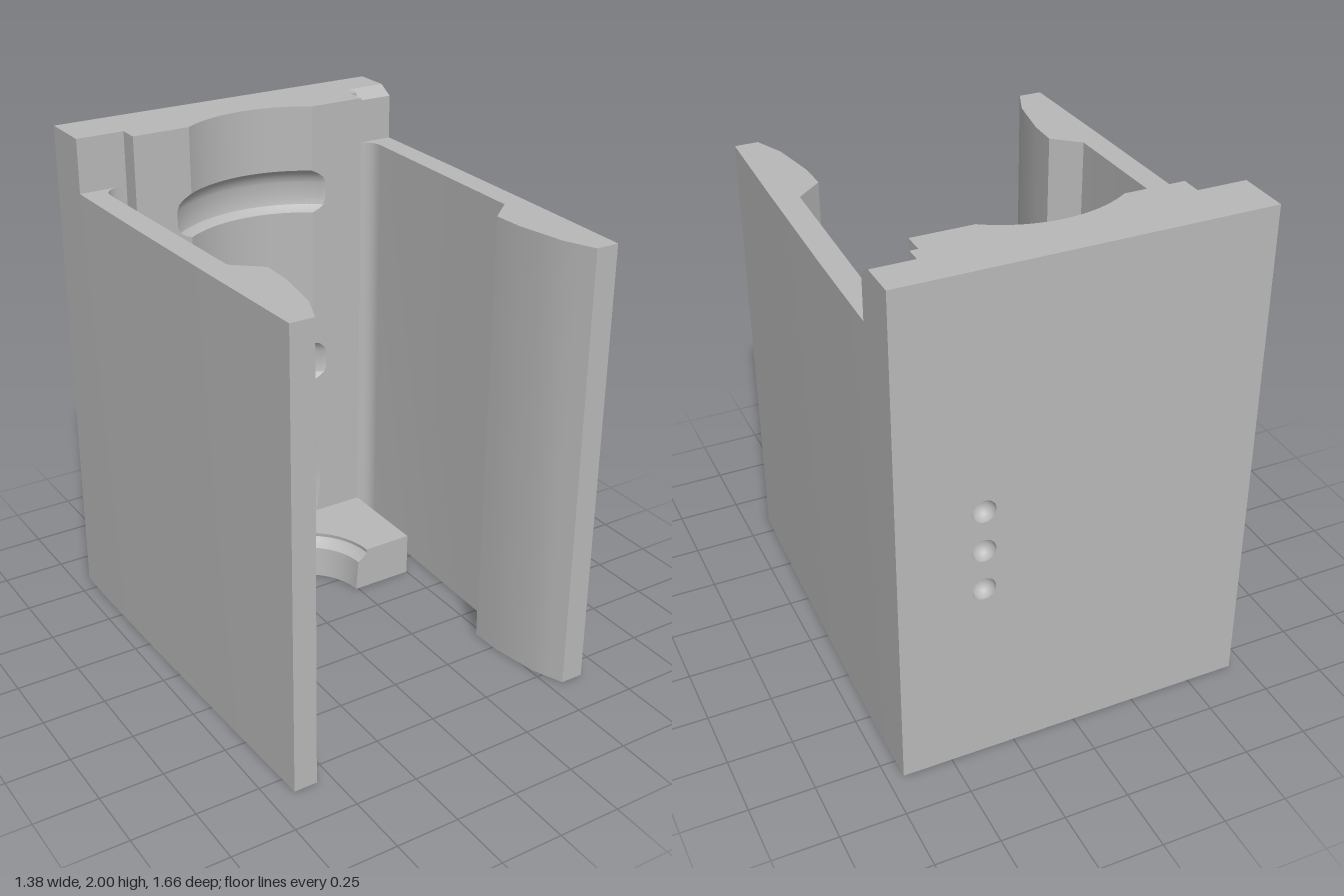
import * as THREE from 'three';
import { toCreasedNormals } from 'three/addons/utils/BufferGeometryUtils.js';

const AXIS_Z = -0.15;   // axis of the round channel
const CORE_Z = -0.785;  // where the back panel ends and the core begins
const DIMPLE_R = 0.045;

// Horizontal slice: a rectangle whose front edge is bitten by a circle of radius r
function slice(r, front) {
  const d = AXIS_Z - front;
  const half = Math.acos(Math.min(1, d / r));
  const pts = [[-0.5, CORE_Z], [0.5, CORE_Z], [0.5, front]];
  const n = 40;
  for (let i = 0; i <= n; i++) {
    const a = half - (2 * half * i) / n;
    pts.push([r * Math.sin(a), AXIS_Z - r * Math.cos(a)]);
  }
  pts.push([-0.5, front]);
  return pts;
}

// Stack slices along y; profile is a list of [y, radius]
function channelBlock(profile, front) {
  const rows = profile.map(([, r]) => slice(r, front));
  const n = rows[0].length;
  const pos = [], index = [];
  rows.forEach((row, j) => row.forEach(([x, z]) => pos.push(x, profile[j][0], z)));
  for (let j = 0; j < rows.length - 1; j++) {
    for (let i = 0; i < n; i++) {
      const a = j * n + i, b = j * n + (i + 1) % n;
      index.push(a, a + n, b, b, a + n, b + n);
    }
  }
  const cap = (j, flip) => {
    const contour = rows[j].map(([x, z]) => new THREE.Vector2(x, z));
    for (const [a, b, c] of THREE.ShapeUtils.triangulateShape(contour, [])) {
      index.push(j * n + a, j * n + (flip ? c : b), j * n + (flip ? b : c));
    }
  };
  cap(0, false);
  cap(rows.length - 1, true);
  const geo = new THREE.BufferGeometry();
  geo.setAttribute('position', new THREE.Float32BufferAttribute(pos, 3));
  geo.setIndex(index);
  return toCreasedNormals(geo, 0.5);
}

// Extrude an [x, z] outline upwards from y0 to y1
function extrudeY(points, y0, y1) {
  const shape = new THREE.Shape(points.map(([x, z]) => new THREE.Vector2(x, -z)));
  const geo = new THREE.ExtrudeGeometry(shape, { depth: y1 - y0, bevelEnabled: false });
  geo.rotateX(-Math.PI / 2).translate(0, y0, 0);
  return toCreasedNormals(geo, 0.4);
}

function box(x0, x1, y0, y1, z0, z1) {
  return new THREE.BoxGeometry(x1 - x0, y1 - y0, z1 - z0)
    .translate((x0 + x1) / 2, (y0 + y1) / 2, (z0 + z1) / 2);
}

// Curved tab lying in the channel
function tab(halfWidth, rIn, rOut, y0, y1) {
  const pts = [], n = 14;
  const arc = (r, sign) => {
    const h = Math.asin(halfWidth / r);
    for (let i = 0; i <= n; i++) {
      const a = sign * (h - (2 * h * i) / n);
      pts.push([r * Math.sin(a), AXIS_Z - r * Math.cos(a)]);
    }
  };
  arc(rIn, 1);
  arc(rOut, -1);
  return extrudeY(pts, y0, y1);
}

export function createModel() {
  const group = new THREE.Group();
  const grey = new THREE.MeshStandardMaterial({ color: 0xb8b8b8, side: THREE.DoubleSide });
  grey.name = 'plain grey';
  const add = (name, geo) => {
    const mesh = new THREE.Mesh(geo, grey);
    mesh.name = name;
    group.add(mesh);
    return mesh;
  };

  // Back panel with three round dimples
  const panel = new THREE.Shape([[-0.69, 0], [0.69, 0], [0.69, 2], [-0.69, 2]]
    .map(([x, y]) => new THREE.Vector2(x, y)));
  for (const y of [0.76, 0.925, 1.09]) {
    panel.holes.push(new THREE.Path().absarc(0.37, y, DIMPLE_R, 0, Math.PI * 2, true));
    add('dimple', new THREE.SphereGeometry(DIMPLE_R, 20, 12, 0, Math.PI))
      .position.set(0.37, y, -0.83);
  }
  add('backPanel', new THREE.ExtrudeGeometry(panel,
    { depth: CORE_Z + 0.83, bevelEnabled: false, curveSegments: 20 }).translate(0, 0, -0.83));

  // Core with the round channel and its two ring grooves
  add('channelCore', channelBlock([
    [0.18, 0.487], [0.21, 0.49], [0.3, 0.498], [0.37, 0.5], [0.45, 0.496], [0.6, 0.487],
    [0.82, 0.483], [0.83, 0.495], [0.845, 0.511], [0.87, 0.518], [0.94, 0.518],
    [0.965, 0.511], [0.985, 0.495], [0.99, 0.48],
    [1.565, 0.48], [1.575, 0.496], [1.59, 0.51], [1.615, 0.516], [1.68, 0.516],
    [1.705, 0.51], [1.725, 0.494], [1.74, 0.478], [2, 0.478],
  ], -0.545));

  // Bottom shelf with a stepped half-round opening
  add('bottomShelf', channelBlock([
    [0, 0.24], [0.13, 0.25], [0.14, 0.265], [0.155, 0.285], [0.165, 0.292], [0.18, 0.29],
  ], AXIS_Z));

  // Tabs inside the channel
  add('lowerTab', tab(0.18, 0.458, 0.5, 0.18, 0.235));
  add('upperTab', tab(0.187, 0.472, 0.525, 0.88, 0.97));

  // Side arms with inward hooks, joined to the back by a fillet
  const arm = [
    [0.5, CORE_Z], [0.69, CORE_Z], [0.69, -0.6], [0.683, -0.2], [0.668, 0.35], [0.652, 0.83],
    [0.56, 0.82], [0.535, 0.77], [0.51, 0.71], [0.492, 0.61], [0.475, 0.51], [0.472, 0.39],
    [0.575, 0.3], [0.6, -0.55],
  ];
  arm[5] = [0.652, 0.83];
  arm[6] = [0.56, 0.83];
  for (let i = 1; i <= 6; i++) {
    const a = (i / 6) * Math.PI / 2;
    arm.push([0.53 + 0.07 * Math.cos(a), -0.555 - 0.07 * Math.sin(a)]);
  }
  arm.push([0.5, -0.625]);
  add('leftArm', extrudeY(arm, 0, 1.79));
  add('rightArm', extrudeY(arm.map(([x, z]) => [-x, z]), 0, 1.79));

  // Upper corners above the arms; the left one has a chamfered notch
  add('rightCorner', box(-0.69, -0.5, 1.79, 2, CORE_Z, -0.625));
  add('leftCornerInner', box(0.5, 0.53, 1.79, 2, CORE_Z, -0.625));
  const chamfer = new THREE.Shape([[0.625, 1.79], [-CORE_Z, 1.79], [-CORE_Z, 2], [0.685, 2], [0.625, 1.965]]
    .map(([z, y]) => new THREE.Vector2(z, y)));
  add('leftCornerChamfered', new THREE.ExtrudeGeometry(chamfer, { depth: 0.16, bevelEnabled: false })
    .rotateY(Math.PI / 2).translate(0.53, 0, 0));

  return group;
}
